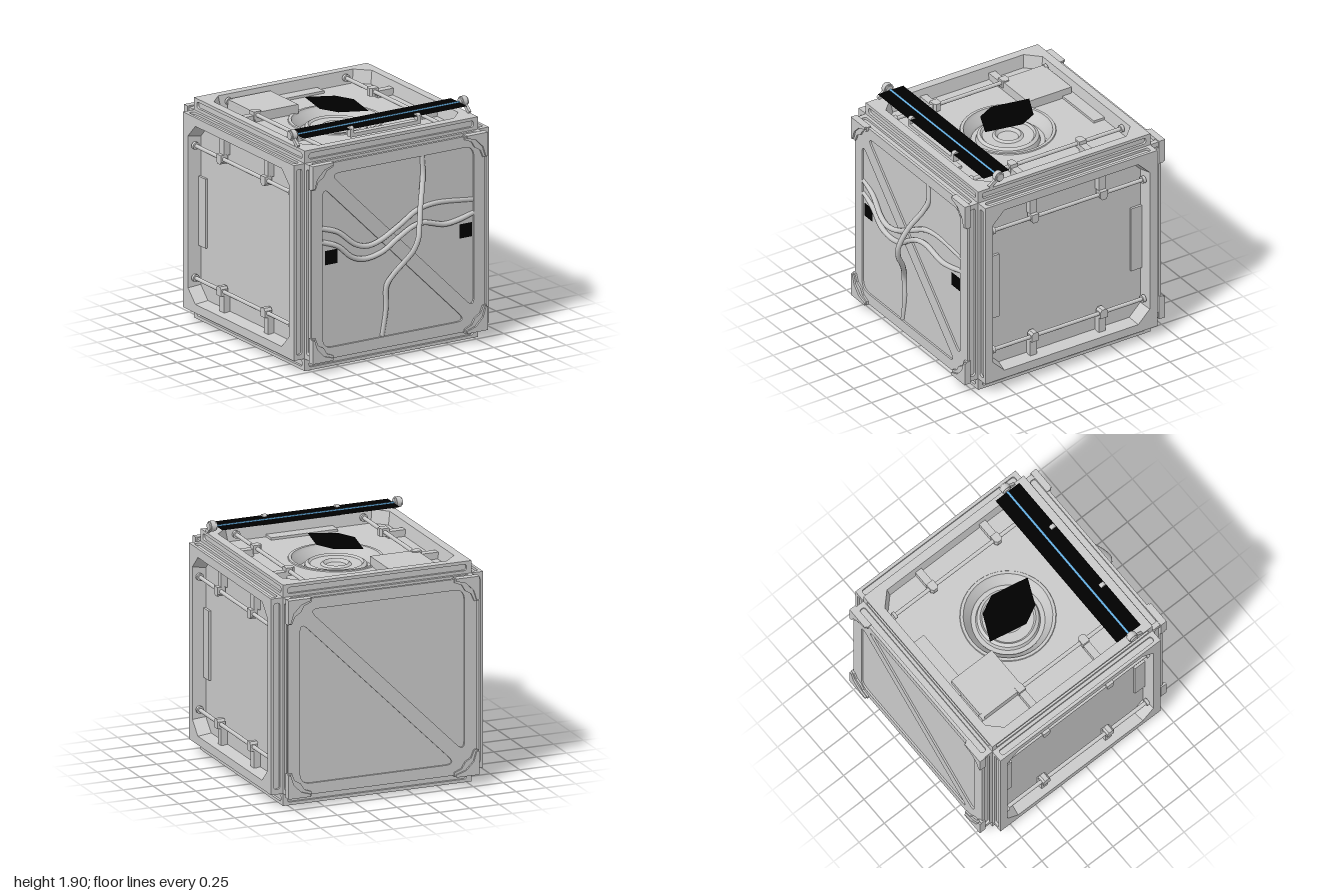
import * as THREE from 'three';
import { toCreasedNormals } from 'three/addons/utils/BufferGeometryUtils.js';

const metal = new THREE.MeshStandardMaterial({ color: 0xcacaca, side: THREE.DoubleSide });
metal.name = 'grey metal';
const black = new THREE.MeshStandardMaterial({ color: 0x000000, side: THREE.DoubleSide });
black.name = 'black';
const blue = new THREE.MeshStandardMaterial({ color: 0x67b2e6 });
blue.name = 'blue glow';

function add(parent, name, geometry, material = metal, x = 0, y = 0, z = 0) {
  const mesh = new THREE.Mesh(geometry, material);
  mesh.name = name;
  mesh.position.set(x, y, z);
  parent.add(mesh);
  return mesh;
}

function box(parent, name, w, h, d, x, y, z) {
  return add(parent, name, new THREE.BoxGeometry(w, h, d), metal, x, y, z);
}

// cylinder lying along x
function rod(parent, name, r, length, x, y, z, material = metal) {
  const g = toCreasedNormals(new THREE.CylinderGeometry(r, r, length, 16).rotateZ(Math.PI / 2), 0.6);
  return add(parent, name, g, material, x, y, z);
}

function named(parent, name) {
  const g = new THREE.Group();
  g.name = name;
  parent.add(g);
  return g;
}

// polygon whose corners are rounded by cutting a distance c off each side
function rounded(pts, c) {
  const path = new THREE.Path();
  const n = pts.length;
  pts.forEach((p, i) => {
    const at = new THREE.Vector2(...p);
    const toward = (q) => new THREE.Vector2(...q).sub(at).setLength(c).add(at);
    const a = toward(pts[(i + n - 1) % n]);
    const b = toward(pts[(i + 1) % n]);
    if (i === 0) path.moveTo(a.x, a.y);
    else path.lineTo(a.x, a.y);
    path.quadraticCurveTo(at.x, at.y, b.x, b.y);
  });
  path.closePath();
  return path;
}

const rect = (w, h) => [[-w, -h], [w, -h], [w, h], [-w, h]];
const polygon = (pts) => new THREE.Shape(pts.map((p) => new THREE.Vector2(...p)));
const extrude = (shape, depth) =>
  new THREE.ExtrudeGeometry(shape, { depth, bevelEnabled: false, curveSegments: 8 });

const FLOOR = 0.785, FACE = 0.89, HALF = 0.79, CORE = 0.77;

// grooved strips round the four edges of a face frame
function edgeStrips(parent) {
  const shape = polygon(rect(HALF, 0.05));
  shape.holes.push(rounded(rect(0.75, 0.025), 0.022));
  const geometry = extrude(shape, HALF - CORE);
  for (let k = 0; k < 4; k++) {
    const turn = named(parent, 'edgeStrip');
    turn.rotation.z = k * Math.PI / 2;
    add(turn, 'groovedStrip', geometry, metal, 0, CORE, FACE - 0.05).rotation.x = -Math.PI / 2;
  }
}

// open frame with rails, clamps and tabs; faces local +z
function openFace(parent) {
  const shape = polygon(rect(CORE, CORE));
  const a = 0.72, c = 0.615;
  shape.holes.push(polygon([[-a, -c], [-a, c], [-c, a], [c, a], [a, c], [a, -c], [c, -a], [-c, -a]]));
  const frame = extrude(shape, FACE - FLOOR);
  // the walls of the opening lean inward toward the floor
  const p = frame.attributes.position;
  for (let i = 0; i < p.count; i++) {
    if (p.getZ(i) < 0.001 && Math.max(Math.abs(p.getX(i)), Math.abs(p.getY(i))) < 0.75) {
      p.setXY(i, p.getX(i) * 0.975, p.getY(i) * 0.975);
    }
  }
  frame.computeVertexNormals();
  add(parent, 'openFrame', frame, metal, 0, 0, FLOOR);
  edgeStrips(parent);
  const clamp = extrude(polygon([[-0.033, 0.035], [-0.033, -0.02], [-0.018, -0.04],
    [0.018, -0.04], [0.033, -0.02], [0.033, 0.035]]), 0.065);
  for (const s of [-1, 1]) {
    rod(parent, 'rail', 0.016, 1.4, 0, s * 0.535, 0.84);
    box(parent, 'endTab', 0.1, 0.56, 0.02, s * 0.655, 0, FLOOR + 0.01);
    for (const t of [-1, 1]) {
      rod(parent, 'railCap', 0.03, 0.025, t * 0.69, s * 0.535, 0.84);
      box(parent, 'clampArm', 0.06, 0.145, 0.055, t * 0.315, s * 0.635, FLOOR + 0.0275);
      const hook = add(parent, 'railClamp', clamp, metal, t * 0.315, s * 0.535, 0.805);
      if (s < 0) hook.rotation.z = Math.PI;
    }
  }
}

// closed panel with two shallow triangles and a diagonal brace; faces local +z
function closedFace(parent) {
  box(parent, 'panelCore', CORE * 2, CORE * 2, 0.09, 0, 0, FLOOR + 0.045);
  const shape = polygon(rect(CORE, CORE));
  const triangle = [[-0.62, 0.7], [0.69, 0.7], [0.69, -0.61]];
  shape.holes.push(rounded(triangle, 0.09));
  shape.holes.push(rounded(triangle.map(([x, y]) => [-x, -y]), 0.09));
  add(parent, 'bracedPlate', extrude(shape, 0.015), metal, 0, 0, FACE - 0.015);
  edgeStrips(parent);
  // corner guards
  const guard = extrude(polygon([[0.6, 0.8], [0.6, 0.765], [0.66, 0.74], [0.69, 0.69],
    [0.74, 0.66], [0.765, 0.6], [0.8, 0.6], [0.8, 0.8]]), 0.04);
  const lip = extrude(polygon([[0.61, 0.8], [0.61, 0.78], [0.69, 0.755], [0.755, 0.69],
    [0.78, 0.61], [0.8, 0.61], [0.8, 0.8]]), 0.02);
  for (let k = 0; k < 4; k++) {
    const turn = named(parent, 'cornerGuard');
    turn.rotation.z = k * Math.PI / 2;
    add(turn, 'guardBase', guard, metal, 0, 0, 0.865);
    add(turn, 'guardLip', lip, metal, 0, 0, 0.9);
  }
}

function cable(parent, name, pts) {
  const curve = new THREE.CatmullRomCurve3(pts.map((p) => new THREE.Vector3(...p)));
  add(parent, name, new THREE.TubeGeometry(curve, 80, 0.021, 10));
}

export function createModel() {
  const model = new THREE.Group();
  model.name = 'crate';
  const body = named(model, 'body');
  body.position.set(0, 0.895, -0.08);

  // core, with a round well under the top
  box(body, 'core', FLOOR * 2, FLOOR + 0.6, FLOOR * 2, 0, (0.6 - FLOOR) / 2, 0);
  const deck = polygon(rect(FLOOR, FLOOR));
  deck.holes.push(new THREE.Path().absarc(0, 0, 0.355, 0, Math.PI * 2, true));
  add(body, 'topDeck', extrude(deck, FLOOR - 0.6), metal, 0, 0.6, 0).rotation.x = -Math.PI / 2;
  const profile = [[0, -0.06], [0.08, -0.06], [0.1, -0.035], [0.12, -0.05], [0.2, -0.045], [0.215, -0.03],
    [0.24, -0.045], [0.25, -0.085], [0.285, -0.085], [0.295, -0.06], [0.335, -0.015], [0.345, 0.008], [0.368, 0.008], [0.372, 0]];
  const well = new THREE.LatheGeometry(profile.map((p) => new THREE.Vector2(...p)), 40);
  add(body, 'ringedWell', toCreasedNormals(well, 0.6), metal, 0, FLOOR, 0);
  box(body, 'topBox', 0.39, 0.075, 0.4, -0.355, FLOOR + 0.0375, -0.488);

  // sides, top and bottom
  ['leftSide', 'top', 'rightSide', 'bottom'].forEach((name, i) => {
    const turn = named(body, name);
    turn.rotation.z = i * Math.PI / 2;
    const face = named(turn, name + 'Face');
    face.rotation.y = Math.PI / 2;
    openFace(face);
  });

  // front and back
  closedFace(named(body, 'front'));
  const back = named(body, 'back');
  back.rotation.y = Math.PI;
  closedFace(back);

  // cables
  cable(model, 'upperCable', [[-0.69, 1.165, 0.79], [-0.55, 1.115, 0.805], [-0.4, 0.995, 0.825], [-0.3, 0.965, 0.83],
    [-0.18, 0.985, 0.825], [0, 1.075, 0.82], [0.18, 1.165, 0.8], [0.35, 1.19, 0.79], [0.69, 1.16, 0.785]]);
  cable(model, 'lowerCable', [[-0.69, 1.055, 0.79], [-0.55, 1, 0.805], [-0.42, 0.89, 0.81], [-0.3, 0.855, 0.805],
    [-0.15, 0.885, 0.81], [0, 0.985, 0.825], [0.12, 1.05, 0.83], [0.22, 1.06, 0.82], [0.42, 1.01, 0.81],
    [0.55, 1.02, 0.805], [0.69, 1.05, 0.79]]);
  cable(model, 'crossingCable', [[0.225, 1.6, 0.79], [0.23, 1.45, 0.8], [0.2, 1.35, 0.835], [0.14, 1.22, 0.905],
    [0.1, 1.1, 0.955], [0.075, 1, 0.978], [0.045, 0.9, 0.955], [0, 0.8, 0.895], [-0.06, 0.7, 0.84],
    [-0.105, 0.6, 0.805], [-0.105, 0.42, 0.795], [-0.14, 0.2, 0.79]]);

  // black patches
  for (const x of [-0.608, 0.618]) {
    add(model, 'frontPatch', new THREE.PlaneGeometry(0.115, 0.115), black, x, 0.922, 0.803);
  }
  const patch = polygon([[-0.115, 0.35], [0.1, 0.25], [0.175, 0.1], [0.115, -0.205], [-0.1, -0.11], [-0.175, 0.04]]);
  add(model, 'topPatch', new THREE.ShapeGeometry(patch), black, 0, 1.812, 0).rotation.x = -Math.PI / 2;

  // lamp
  const lamp = named(model, 'lamp');
  add(lamp, 'lampSheet', new THREE.PlaneGeometry(1.49, 0.235), black, 0, 1.856, 0.513).rotation.x = -Math.PI / 2;
  rod(lamp, 'lampTube', 0.009, 1.49, 0, 1.857, 0.513, blue);
  box(lamp, 'lampRail', 0.64, 0.03, 0.05, 0, 1.805, 0.605);
  for (const s of [-1, 1]) {
    box(lamp, 'lampPost', 0.034, 0.06, 0.05, s * 0.305, 1.82, 0.605);
    rod(lamp, 'lampPostTop', 0.025, 0.034, s * 0.305, 1.848, 0.605);
    rod(lamp, 'lampKnob', 0.042, 0.04, s * 0.778, 1.86, 0.518);
    rod(lamp, 'lampKnobCore', 0.032, 0.064, s * 0.778, 1.86, 0.518);
    box(lamp, 'lampStalk', 0.022, 0.03, 0.11, s * 0.782, 1.823, 0.56).rotation.x = 0.65;
  }
  return model;
}
